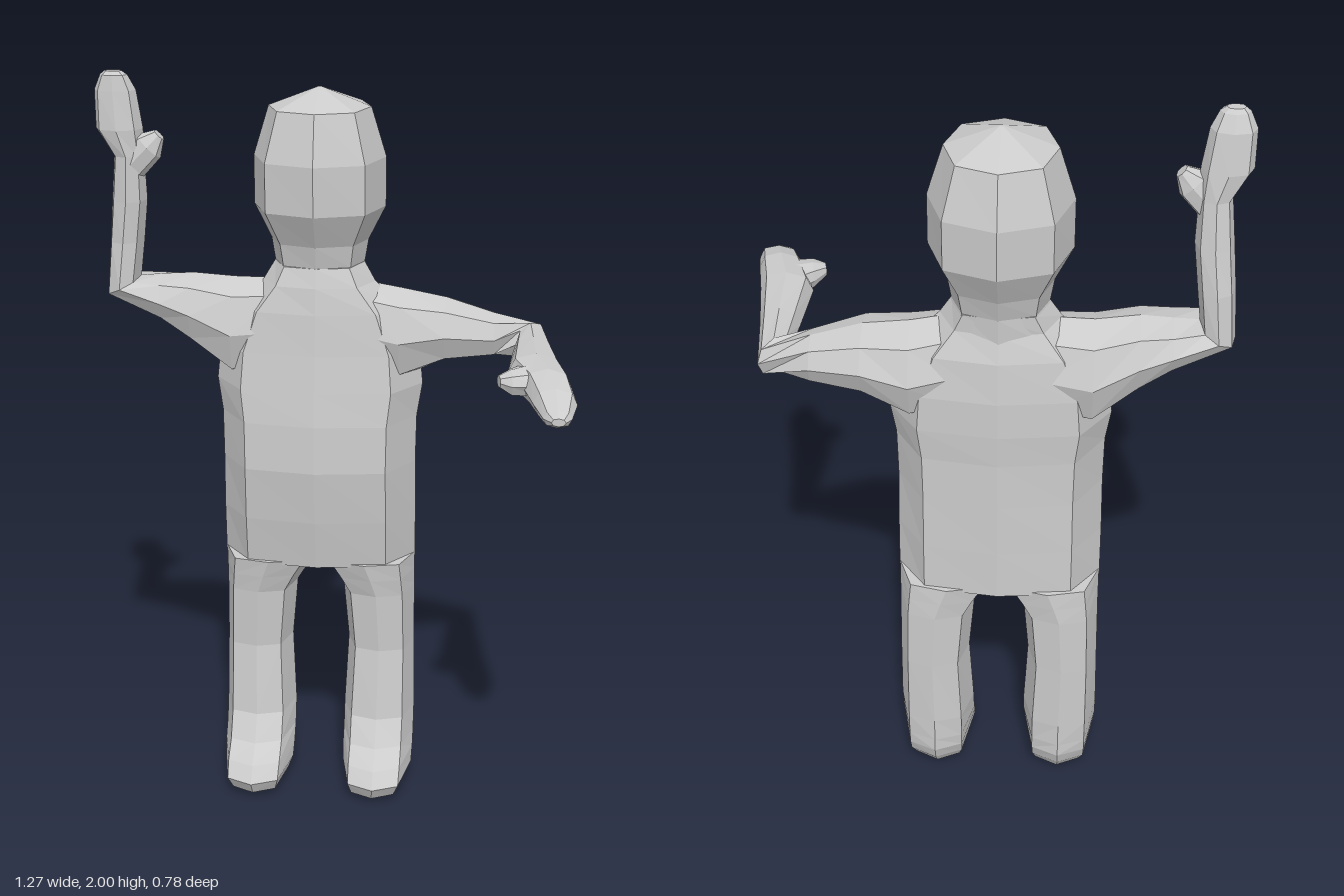
import * as THREE from 'three';

const CX = -0.05; // body axis

// Eight-sided ring: centre c, half-axes u and v; ku, kv place the corners
function ring(c, u, v, ku = 0.74, kv = ku) {
  const steps = [[1, 0], [ku, kv], [0, 1], [-ku, kv], [-1, 0], [-ku, -kv], [0, -1], [ku, -kv]];
  return steps.map(([a, b]) => c.map((n, i) => n + u[i] * a + v[i] * b));
}

// Horizontal ring given by its extents
const flat = (y, x0, x1, zf, zb, ku, kv) =>
  ring([(x0 + x1) / 2, y, (zf + zb) / 2], [(x1 - x0) / 2, 0, 0], [0, 0, (zf - zb) / 2], ku, kv);

// Upright ring across an arm given by its extents
const cross = (x, y0, y1, zf, zb) =>
  ring([x, (y0 + y1) / 2, (zf + zb) / 2], [0, (y1 - y0) / 2, 0], [0, 0, (zf - zb) / 2]);

// Closed skin over a row of rings
function loft(name, rings) {
  const n = rings[0].length;
  const pos = rings.flat(2);
  const idx = [];
  for (let r = 0; r < rings.length - 1; r++) {
    for (let i = 0; i < n; i++) {
      const a = r * n + i, b = r * n + (i + 1) % n;
      idx.push(a, b, b + n, a, b + n, a + n);
    }
  }
  [0, rings.length - 1].forEach((r) => {
    const mid = [0, 1, 2].map((k) => rings[r].reduce((s, p) => s + p[k], 0) / n);
    const m = pos.length / 3;
    pos.push(...mid);
    for (let i = 0; i < n; i++) {
      const a = r * n + i, b = r * n + (i + 1) % n;
      if (r === 0) idx.push(m, b, a); else idx.push(m, a, b);
    }
  });
  // Turn the faces outward if the rings wind the other way
  const p = (i) => new THREE.Vector3().fromArray(pos, i * 3);
  let volume = 0;
  for (let i = 0; i < idx.length; i += 3) volume += p(idx[i]).dot(p(idx[i + 1]).cross(p(idx[i + 2])));
  if (volume < 0) idx.reverse();
  const geo = new THREE.BufferGeometry();
  geo.setAttribute('position', new THREE.Float32BufferAttribute(pos, 3));
  geo.setIndex(idx);
  geo.computeVertexNormals();
  const mesh = new THREE.Mesh(geo, new THREE.MeshStandardMaterial({ color: 0xcccccc, flatShading: true }));
  mesh.name = name;
  return mesh;
}

export function createModel() {
  const model = new THREE.Group();
  model.name = 'figure';

  // Head and neck: [y, half width, front z, back z]
  model.add(loft('head', [
    [1.42, 0.15, -0.09, -0.31], [1.5, 0.12, -0.105, -0.315], [1.56, 0.13, -0.09, -0.335],
    [1.65, 0.175, -0.04, -0.385], [1.78, 0.175, -0.035, -0.39], [1.91, 0.135, -0.07, -0.355],
    [1.96, 0.005, -0.205, -0.215],
  ].map(([y, w, f, b]) => flat(y, CX - w, CX + w, f, b))));

  // Torso, widest at the armpits and fullest at the belly
  model.add(loft('torso', [
    [0.66, 0.266, -0.085, -0.33], [0.8, 0.266, -0.06, -0.33], [0.95, 0.264, -0.04, -0.33],
    [1.08, 0.266, -0.045, -0.33], [1.17, 0.28, -0.057, -0.335], [1.27, 0.27, -0.07, -0.335],
    [1.38, 0.22, -0.08, -0.325], [1.45, 0.15, -0.09, -0.305], [1.5, 0.12, -0.105, -0.31],
  ].map(([y, w, f, b]) => flat(y, CX - w, CX + w, f, b, 0.72, 0.82))));

  // Legs with feet: [y, inner, outer offset from the axis, front z, back z]
  for (const [name, s] of [['leftLeg', 1], ['rightLeg', -1]]) {
    model.add(loft(name, [
      [0, 0.105, 0.225, 0.0, -0.26], [0.015, 0.085, 0.25, 0.035, -0.29],
      [0.05, 0.072, 0.268, 0.055, -0.315], [0.09, 0.07, 0.27, 0.02, -0.33],
      [0.13, 0.07, 0.27, -0.04, -0.33], [0.2, 0.07, 0.27, -0.085, -0.33],
      [0.4, 0.08, 0.267, -0.115, -0.33], [0.57, 0.065, 0.265, -0.105, -0.33],
      [0.62, 0.035, 0.265, -0.095, -0.33], [0.67, 0, 0.265, -0.085, -0.33],
    ].map(([y, a, b, zf, zb]) => flat(y, CX + s * a, CX + s * b, zf, zb, 0.72, 0.82))));
  }

  // Left arm: out to the elbow, then forward to the fingertips
  model.add(loft('leftArm', [
    cross(0.06, 1.2, 1.45, -0.1, -0.31),
    cross(0.17, 1.18, 1.43, -0.09, -0.33),
    cross(0.29, 1.24, 1.41, -0.09, -0.31),
    cross(0.42, 1.255, 1.37, -0.125, -0.275),
    ring([0.515, 1.3, -0.187], [0.037, 0, -0.048], [0, 0.048, 0]),
    ...[[-0.05, 0.47, 0.575, 1.255, 1.35], [0.12, 0.46, 0.6, 1.25, 1.355],
      [0.23, 0.5, 0.62, 1.25, 1.35], [0.31, 0.525, 0.633, 1.245, 1.325],
      [0.37, 0.55, 0.62, 1.245, 1.29], [0.39, 0.57, 0.605, 1.255, 1.275]]
      .map(([z, x0, x1, y0, y1]) => ring([(x0 + x1) / 2, (y0 + y1) / 2, z], [(x1 - x0) / 2, 0, 0], [0, (y1 - y0) / 2, 0])),
  ]));
  model.add(loft('leftThumb', [
    ring([0.53, 1.305, 0.17], [0.02, 0, 0.07], [0, 0.04, 0]),
    ring([0.47, 1.305, 0.205], [0.005, 0, 0.045], [0, 0.032, 0]),
    ring([0.44, 1.31, 0.22], [0.005, 0, 0.018], [0, 0.015, 0]),
  ]));

  // Right arm: out to the elbow, then up to the raised hand
  model.add(loft('rightArm', [
    cross(-0.16, 1.2, 1.45, -0.1, -0.31),
    cross(-0.28, 1.18, 1.45, -0.09, -0.33),
    cross(-0.39, 1.275, 1.46, -0.09, -0.31),
    cross(-0.47, 1.335, 1.455, -0.1, -0.3),
    ring([-0.577, 1.428, -0.195], [0.045, 0.022, 0], [0, 0, 0.085]),
    ...[[1.55, -0.612, -0.52, -0.125, -0.265], [1.66, -0.602, -0.507, -0.125, -0.245],
      [1.78, -0.59, -0.51, -0.125, -0.225], [1.85, -0.635, -0.51, -0.12, -0.22],
      [1.95, -0.635, -0.525, -0.13, -0.205], [1.99, -0.617, -0.545, -0.135, -0.185],
      [2, -0.605, -0.56, -0.145, -0.175]].map((r) => flat(...r)),
  ]));
  model.add(loft('rightThumb', [
    ring([-0.55, 1.75, -0.17], [0.035, -0.03, 0], [0, 0, 0.04]),
    ring([-0.495, 1.805, -0.165], [0.03, -0.03, 0], [0, 0, 0.035]),
    ring([-0.467, 1.835, -0.165], [0.012, -0.012, 0], [0, 0, 0.018]),
  ]));

  return model;
}
